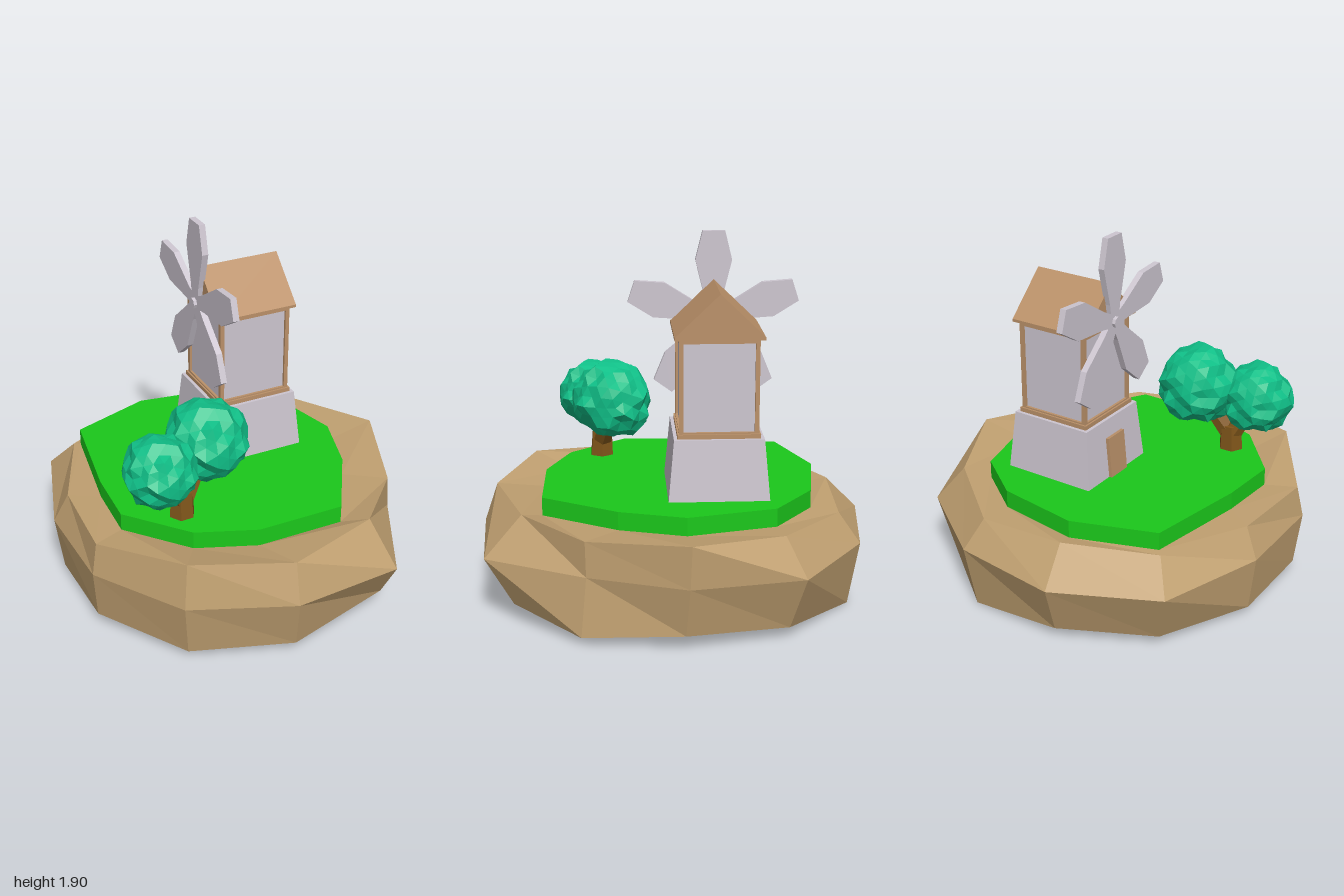
import * as THREE from 'three';

const mat = (color) => new THREE.MeshStandardMaterial({ color, flatShading: true, side: THREE.DoubleSide });
const ROCK = mat(0xbf9f70), GRASS = mat(0x1bc81b), STONE = mat(0xcdc6d0);
const WOOD = mat(0xbb9169), BARK = mat(0x80561a), LEAF = mat(0x10c088);

function add(parent, name, geometry, material, x = 0, y = 0, z = 0) {
  const mesh = new THREE.Mesh(geometry, material);
  mesh.name = name;
  mesh.position.set(x, y, z);
  parent.add(mesh);
  return mesh;
}

// Island rings, each corner as x, y, z, starting at the back and going round by the right
const BOTTOM = [[-.07, 0, -.94], [.47, .06, -.82], [.82, .08, -.42], [.97, .04, .07], [.87, .1, .51], [.42, .05, .88],
  [-.12, .04, .95], [-.6, .06, .69], [-.83, .04, .25], [-.85, .05, -.29], [-.55, .06, -.72]];
const MIDDLE = [[-.07, .34, -1], [.51, .34, -.92], [.86, .34, -.46], [.93, .34, .06], [.93, .34, .64], [.43, .34, .95],
  [-.13, .34, 1], [-.61, .34, .73], [-.87, .34, .26], [-.97, .34, -.33], [-.62, .34, -.8]];
const TOP = [[-.07, .49, -.88], [.44, .52, -.78], [.86, .56, -.47], [.92, .52, .07], [.79, .55, .5], [.41, .55, .88],
  [-.12, .575, .95], [-.59, .51, .7], [-.79, .5, .25], [-.82, .5, -.27], [-.51, .52, -.66]];
const LAWN = [[-.04, -.735], [.3, -.68], [.61, -.33], [.675, .015], [.645, .465], [.23, .68],
  [-.1, .715], [-.475, .565], [-.61, .27], [-.78, -.255], [-.465, -.59]];

// Open shell that joins successive rings with quads
function shell(rings) {
  const pos = [];
  for (let r = 0; r < rings.length - 1; r++) {
    const n = rings[r].length;
    for (let i = 0; i < n; i++) {
      const j = (i + 1) % n;
      const a = rings[r][i], b = rings[r][j], c = rings[r + 1][j], d = rings[r + 1][i];
      pos.push(...a, ...d, ...c, ...a, ...c, ...b);
    }
  }
  const g = new THREE.BufferGeometry();
  g.setAttribute('position', new THREE.Float32BufferAttribute(pos, 3));
  g.computeVertexNormals();
  return g;
}

const outline = (points) => new THREE.Shape(points.map(([x, y]) => new THREE.Vector2(x, y)));
const slab = (points, depth) => new THREE.ExtrudeGeometry(outline(points), { depth, bevelEnabled: false });

function createIsland() {
  const island = new THREE.Group();
  island.name = 'island';
  const inner = LAWN.map(([x, z]) => [x, .505, z]);
  add(island, 'rockShell', shell([BOTTOM, MIDDLE, TOP, inner]), ROCK);
  const lawn = slab(LAWN.map(([x, z]) => [x, -z]), .1).rotateX(-Math.PI / 2);
  add(island, 'lawn', lawn, GRASS, 0, .5, 0);
  return island;
}

function createWindmill() {
  const mill = new THREE.Group();
  mill.name = 'windmill';
  const box = (w, h, d) => new THREE.BoxGeometry(w, h, d);

  // Tapered stone base, ledge and upper room
  const base = new THREE.CylinderGeometry(.228 * Math.SQRT2, .257 * Math.SQRT2, .32, 4, 1).rotateY(Math.PI / 4);
  add(mill, 'base', base, STONE, 0, .755, 0);
  add(mill, 'ledge', box(.42, .03, .42), WOOD, 0, .923, 0);
  add(mill, 'room', box(.375, .5, .375), STONE, 0, 1.17, 0);

  // Timber frame round the wall panels
  for (const sx of [-1, 1]) {
    for (const sz of [-1, 1]) add(mill, 'cornerPost', box(.022, .5, .022), WOOD, sx * .19, 1.17, sz * .19);
    for (const y of [.935, 1.41]) {
      add(mill, 'sideRail', box(.022, .022, .38), WOOD, sx * .19, y, 0);
      add(mill, 'endRail', box(.38, .022, .022), WOOD, 0, y, sx * .19);
    }
  }

  // Gabled roof with its ridge along z
  const gable = [[-.225, 1.42], [.225, 1.42], [.225, 1.435], [0, 1.65], [-.225, 1.435]];
  add(mill, 'roof', slab(gable, .45), WOOD, 0, 0, -.225);

  // Door, leaning with the base
  const door = add(mill, 'door', box(.14, .22, .03), WOOD, 0, .71, .25);
  door.rotation.x = -.09;

  // Five sails on a short axle
  const rotor = new THREE.Group();
  rotor.name = 'rotor';
  rotor.position.set(0, 1.45, .235);
  const axle = new THREE.CylinderGeometry(.03, .03, .09, 8).rotateX(Math.PI / 2);
  add(rotor, 'axle', axle, STONE, 0, 0, -.01);
  const sail = slab([[-.03, 0], [.03, 0], [.045, .1], [.095, .3], [.058, .45], [-.058, .45], [-.095, .3], [-.045, .1]], .034);
  for (let i = 0; i < 5; i++) {
    add(rotor, 'sail', sail, STONE, 0, 0, -.017).rotation.z = i * Math.PI * 2 / 5;
  }
  mill.add(rotor);

  mill.position.set(.1, 0, -.26);
  mill.rotation.y = -1.087;
  return mill;
}

// Spiky ball: every corner is pushed in or out by a hash of its direction
function foliage(radius) {
  const g = new THREE.IcosahedronGeometry(1, 3);
  const p = g.attributes.position, v = new THREE.Vector3();
  for (let i = 0; i < p.count; i++) {
    v.fromBufferAttribute(p, i).normalize();
    const h = Math.sin(Math.round(v.x * 100) * 12.99 + Math.round(v.y * 100) * 78.23 + Math.round(v.z * 100) * 37.72) * 43.7;
    v.multiplyScalar(radius * (.85 + .2 * (h - Math.floor(h))));
    p.setXYZ(i, v.x, v.y, v.z);
  }
  g.computeVertexNormals();
  return g;
}

function createTree() {
  const tree = new THREE.Group();
  tree.name = 'tree';
  const limb = (name, from, to, r0, r1) => {
    const a = new THREE.Vector3(...from), b = new THREE.Vector3(...to), d = b.clone().sub(a);
    const m = add(tree, name, new THREE.CylinderGeometry(r1, r0, d.length(), 6), BARK, ...a.clone().add(b).multiplyScalar(.5));
    m.quaternion.setFromUnitVectors(new THREE.Vector3(0, 1, 0), d.normalize());
  };
  limb('trunk', [-.165, .58, .55], [-.165, .74, .545], .07, .06);
  limb('rightBranch', [-.175, .7, .555], [-.25, .88, .63], .055, .035);
  limb('leftBranch', [-.15, .7, .535], [-.05, .9, .42], .055, .035);
  add(tree, 'largeCrown', foliage(.22), LEAF, -.04, .96, .41);
  add(tree, 'smallCrown', foliage(.195), LEAF, -.26, .915, .645);
  return tree;
}

export function createModel() {
  const model = new THREE.Group();
  model.name = 'windmillIsland';
  model.add(createIsland(), createWindmill(), createTree());
  return model;
}
